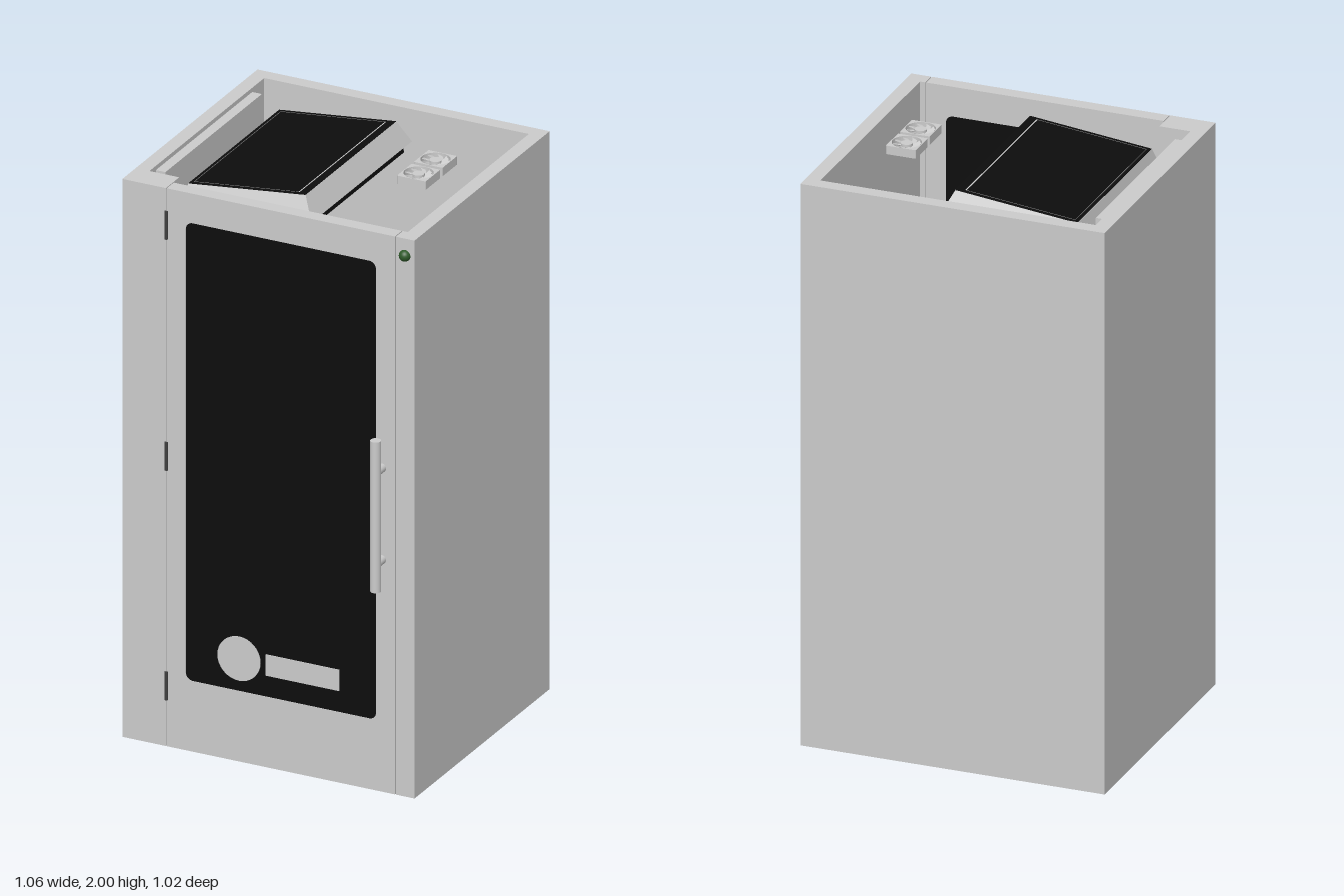
import * as THREE from 'three';

const mat = (color) => new THREE.MeshStandardMaterial({ color });
const grey = mat(0xcccccc), black = mat(0x0d0d0d), dark = mat(0x808080), hingeMat = mat(0x404040), green = mat(0x2f5a2a);

function add(parent, name, geo, material = grey, x = 0, y = 0, z = 0) {
  const m = new THREE.Mesh(geo, material);
  m.name = name;
  m.position.set(x, y, z);
  parent.add(m);
  return m;
}

// Box given by its limits on each axis
function slab(parent, name, x0, x1, y0, y1, z0, z1, material = grey) {
  return add(parent, name, new THREE.BoxGeometry(x1 - x0, y1 - y0, z1 - z0), material,
    (x0 + x1) / 2, (y0 + y1) / 2, (z0 + z1) / 2);
}

function roundedRect(target, x0, x1, y0, y1, r) {
  target.moveTo(x0 + r, y0);
  target.lineTo(x1 - r, y0);
  target.absarc(x1 - r, y0 + r, r, -Math.PI / 2, 0);
  target.lineTo(x1, y1 - r);
  target.absarc(x1 - r, y1 - r, r, 0, Math.PI / 2);
  target.lineTo(x0 + r, y1);
  target.absarc(x0 + r, y1 - r, r, Math.PI / 2, Math.PI);
  target.lineTo(x0, y0 + r);
  target.absarc(x0 + r, y0 + r, r, Math.PI, Math.PI * 1.5);
  return target;
}

const extrude = (shape, depth) =>
  new THREE.ExtrudeGeometry(shape, { depth, bevelEnabled: false, curveSegments: 8 });

const H = 1.98;

// Open-topped cabinet shell
function makeCabinet() {
  const g = new THREE.Group();
  g.name = 'cabinet';
  slab(g, 'rightWall', -0.53, -0.48, 0, H, -0.51, 0.45);
  slab(g, 'leftWall', 0.48, 0.53, 0, H, -0.51, 0.45);
  slab(g, 'backWall', -0.48, 0.48, 0, H, -0.51, -0.46);
  slab(g, 'hingePost', -0.48, -0.372, 0, H, 0.355, 0.45);
  slab(g, 'latchPost', 0.462, 0.48, 0, H, 0.4, 0.45);
  slab(g, 'floor', -0.48, 0.48, 0, 0.04, -0.46, 0.4, dark);
  slab(g, 'cornerLedge', -0.48, -0.195, 0.04, 0.3, -0.46, -0.385);
  return g;
}

// Door with a window, hinges, handle and two plates on the glass
function makeDoor() {
  const g = new THREE.Group();
  g.name = 'door';
  const frame = new THREE.Shape();
  frame.moveTo(-0.369, 0);
  frame.lineTo(0.459, 0);
  frame.lineTo(0.459, H);
  frame.lineTo(-0.369, H);
  frame.closePath();
  frame.holes.push(roundedRect(new THREE.Path(), -0.3, 0.39, 0.25, 1.875, 0.025));
  add(g, 'doorFrame', extrude(frame, 0.05), grey, 0, 0, 0.4);
  const glass = roundedRect(new THREE.Shape(), -0.3, 0.39, 0.25, 1.875, 0.025);
  add(g, 'doorGlass', extrude(glass, 0.046), black, 0, 0, 0.402);

  const disc = add(g, 'roundPlate', new THREE.CylinderGeometry(0.078, 0.078, 0.004, 32), grey, -0.107, 0.365, 0.449);
  disc.rotation.x = Math.PI / 2;
  slab(g, 'barPlate', -0.01, 0.257, 0.325, 0.4, 0.447, 0.451);

  for (const y of [0.215, 1.03, 1.85]) {
    add(g, 'hinge', new THREE.CylinderGeometry(0.006, 0.006, 0.1, 12), hingeMat, -0.37, y, 0.451);
  }
  for (const z of [0.355, 0.495]) {
    add(g, 'handleBar', new THREE.CylinderGeometry(0.018, 0.018, 0.535, 24), grey, 0.412, 0.9975, z);
  }
  for (const y of [0.825, 1.15]) {
    const post = add(g, 'handlePost', new THREE.CylinderGeometry(0.015, 0.015, 0.14, 16), grey, 0.412, y, 0.425);
    post.rotation.x = Math.PI / 2;
  }
  return g;
}

// Screen with bevelled frame, slightly tipped towards the wall bracket
function makeDisplay() {
  const g = new THREE.Group();
  g.name = 'display';
  const body = new THREE.BoxGeometry(0.428, 0.08, 0.644);
  const p = body.attributes.position;
  for (let i = 0; i < p.count; i++) {
    if (p.getY(i) < 0) {
      p.setX(i, p.getX(i) + 0.03 * Math.sign(p.getX(i)));
      p.setZ(i, p.getZ(i) + 0.035 * Math.sign(p.getZ(i)));
    }
  }
  body.computeVertexNormals();
  add(g, 'displayFrame', body, grey, 0, -0.041, 0);
  slab(g, 'screen', -0.213, 0.213, -0.002, 0.001, -0.321, 0.321, black);
  slab(g, 'displayBack', -0.235, 0.22, -0.115, -0.081, -0.34, 0.34, black);
  // Thin outline on the screen
  for (const s of [-1, 1]) {
    slab(g, 'screenLine', -0.2, 0.183, 0, 0.0016, s * 0.307 - 0.001, s * 0.307 + 0.001, dark);
  }
  slab(g, 'screenLine', -0.201, -0.199, 0, 0.0016, -0.307, 0.307, dark);
  slab(g, 'screenLine', 0.181, 0.185, 0, 0.0016, -0.307, 0.307, grey);
  g.position.set(-0.1625, 1.953, -0.038);
  g.rotation.z = 0.11;
  return g;
}

// Wall bracket and the device behind the display
function makeMount() {
  const g = new THREE.Group();
  g.name = 'displayMount';
  slab(g, 'wallBracket', -0.48, -0.445, 1.9, 1.965, -0.375, 0.31);
  const plate = roundedRect(new THREE.Shape(), -0.245, 0.125, 1.62, 1.82, 0.02);
  const m = add(g, 'mountBody', extrude(plate, 0.1), grey, -0.445, 0, 0);
  m.rotation.y = -Math.PI / 2;
  m.position.x = -0.345;
  slab(g, 'mountSlot', -0.402, -0.36, 1.815, 1.822, -0.18, 0.06, black);
  return g;
}

// Square fan with round opening, hub and swept blades
function makeFan(z) {
  const g = new THREE.Group();
  g.name = 'fan';
  const half = 0.052, depth = 0.03;
  const housing = roundedRect(new THREE.Shape(), -half, half, -half, half, 0.003);
  housing.holes.push(new THREE.Path().absarc(0, 0, 0.049, 0, Math.PI * 2, true));
  const h = add(g, 'fanHousing', new THREE.ExtrudeGeometry(housing, { depth, bevelEnabled: false, curveSegments: 24 }));
  h.rotation.x = -Math.PI / 2;
  add(g, 'fanHub', new THREE.CylinderGeometry(0.02, 0.02, depth - 0.004, 24), grey, 0, depth / 2, 0);
  const blade = new THREE.Shape();
  blade.moveTo(0.016, -0.006);
  blade.quadraticCurveTo(0.035, -0.008, 0.046, 0.008);
  blade.lineTo(0.04, 0.024);
  blade.quadraticCurveTo(0.032, 0.01, 0.016, 0.006);
  const bladeGeo = extrude(blade, 0.003);
  bladeGeo.rotateX(-Math.PI / 2);
  bladeGeo.rotateX(0.35);
  for (let i = 0; i < 9; i++) {
    add(g, 'fanBlade', bladeGeo, grey, 0, 0.016, 0).rotation.y = (i * Math.PI * 2) / 9;
  }
  g.position.set(0.32, 2 - depth, z);
  return g;
}

export function createModel() {
  const model = new THREE.Group();
  model.name = 'kioskCabinet';
  model.add(makeCabinet(), makeDoor(), makeDisplay(), makeMount(), makeFan(-0.11), makeFan(0.01));
  add(model, 'indicatorLight', new THREE.SphereGeometry(0.02, 20, 14), green, 0.495, 1.92, 0.45);
  return model;
}
